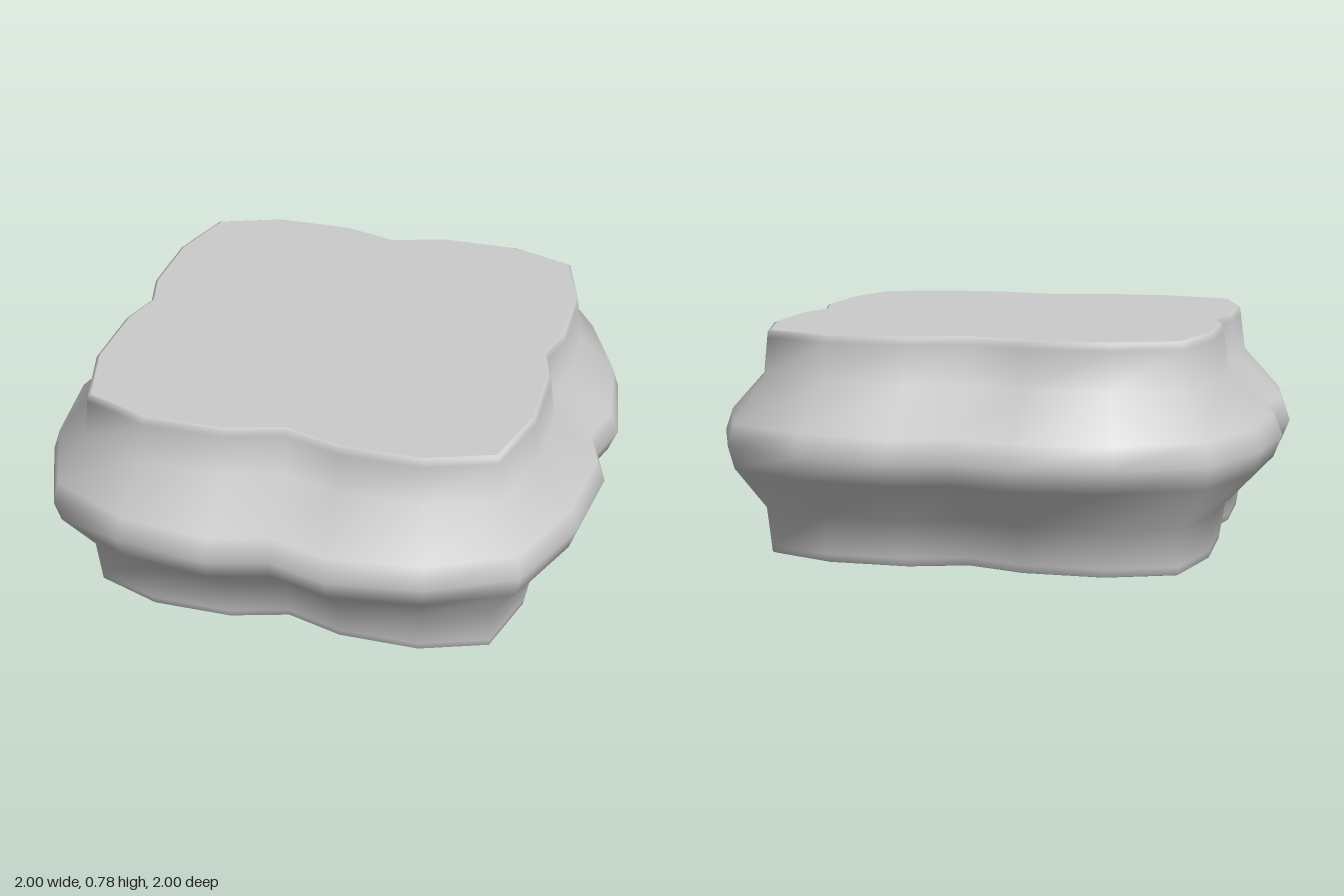
import * as THREE from 'three';

// One quarter of the outline, from +x round to +z: narrow (rims) and wide (waist)
const NARROW = [[0.74, 0], [0.78, 0.15], [0.78, 0.44], [0.71, 0.695], [0.48, 0.78], [0.2, 0.78], [0, 0.72]];
const WIDE = [[0.95, 0], [1, 0.165], [0.955, 0.49], [0.82, 0.81], [0.53, 0.955], [0.21, 1], [0, 0.945]];

// Profile: [height, blend from narrow to wide, inset scale]
const PROFILE = [
  [0, 0, 0.988], [0.005, 0, 1], [0.03, 0.02, 1], [0.165, 0.12, 1], [0.315, 0.86, 1], [0.393, 1, 1],
  [0.47, 0.86, 1], [0.62, 0.12, 1], [0.755, 0.02, 1], [0.777, 0, 1], [0.782, 0, 0.988],
];

// Mirror the quarter into a half, then turn the half into a closed outline
function outline(blend, scale) {
  const quarter = NARROW.map(([x, z], i) => [
    THREE.MathUtils.lerp(x, WIDE[i][0], blend) * scale,
    THREE.MathUtils.lerp(z, WIDE[i][1], blend) * scale,
  ]);
  const mirrored = quarter.slice(1, -1).reverse().map(([x, z]) => [-x, z]);
  const half = [...quarter, ...mirrored];
  return [...half, ...half.map(([x, z]) => [-x, -z])];
}

function makeGeometry(positions, index) {
  const geometry = new THREE.BufferGeometry();
  geometry.setAttribute('position', new THREE.Float32BufferAttribute(positions, 3));
  geometry.setIndex(index);
  geometry.computeVertexNormals();
  return geometry;
}

// Smooth wall skinned through the stacked outlines
function wallGeometry() {
  const positions = [], index = [];
  PROFILE.forEach(([y, blend, scale]) => outline(blend, scale).forEach(([x, z]) => positions.push(x, y, z)));
  const n = positions.length / 3 / PROFILE.length;
  for (let r = 0; r < PROFILE.length - 1; r++) {
    for (let i = 0; i < n; i++) {
      const a = r * n + i, b = r * n + (i + 1) % n;
      index.push(a, a + n, b, b, a + n, b + n);
    }
  }
  return makeGeometry(positions, index);
}

// Flat fan closing one end
function capGeometry([y, blend, scale], up) {
  const ring = outline(blend, scale), positions = [0, y, 0], index = [];
  ring.forEach(([x, z], i) => {
    const a = i + 1, b = (i + 1) % ring.length + 1;
    positions.push(x, y, z);
    index.push(0, up ? b : a, up ? a : b);
  });
  return makeGeometry(positions, index);
}

export function createModel() {
  const group = new THREE.Group();
  group.name = 'lobedCushion';
  const material = new THREE.MeshStandardMaterial({ color: 0xcccccc });
  const add = (name, geometry) => {
    const mesh = new THREE.Mesh(geometry, material);
    mesh.name = name;
    group.add(mesh);
  };
  add('bulgingWall', wallGeometry());
  add('topFace', capGeometry(PROFILE[PROFILE.length - 1], true));
  add('bottomFace', capGeometry(PROFILE[0], false));
  return group;
}
